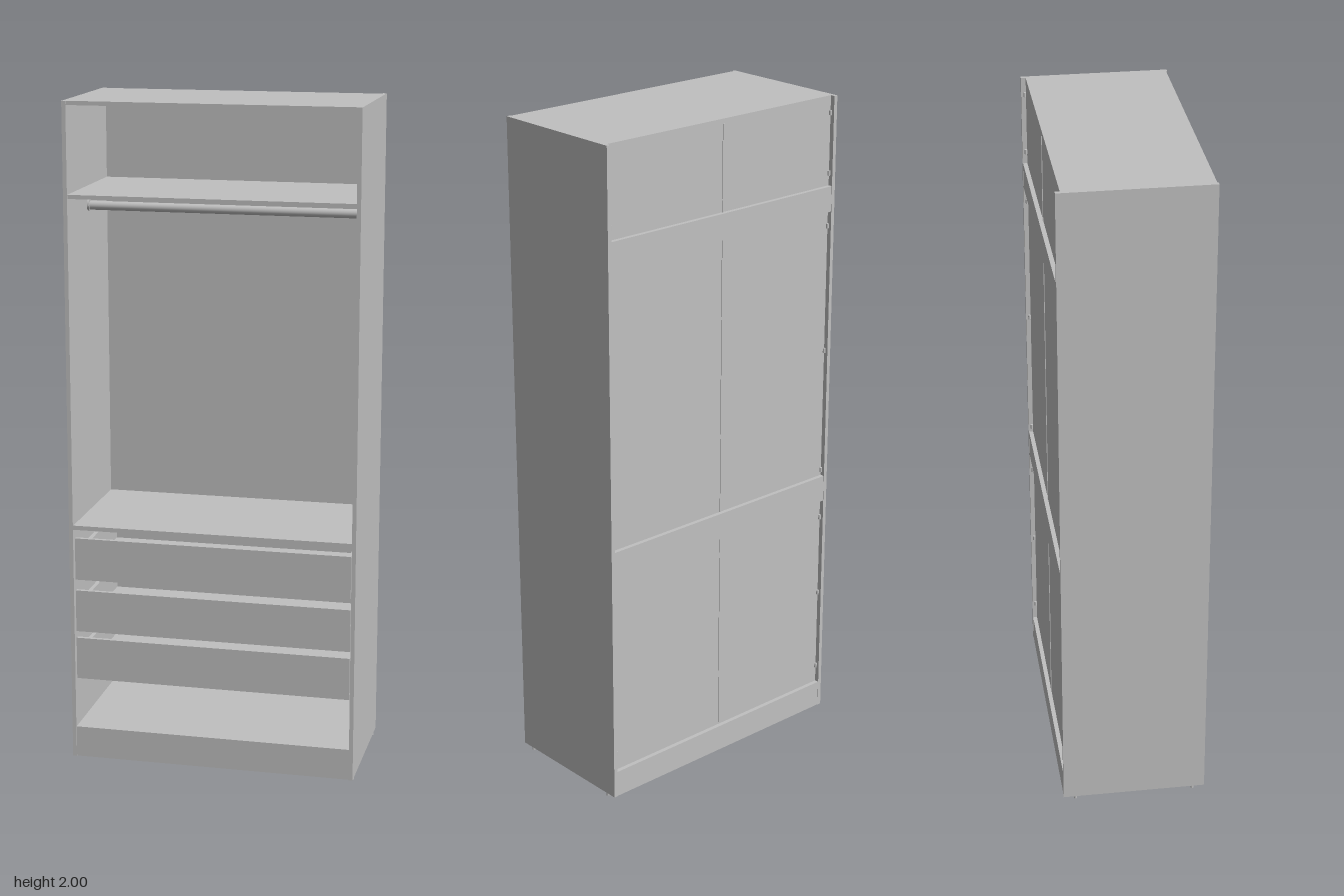
import * as THREE from 'three';

export function createModel() {
  const model = new THREE.Group();
  model.name = 'wardrobe';
  const grey = new THREE.MeshStandardMaterial({ color: 0xc0c0c0 });
  grey.name = 'light grey';

  // Box given by its limits on each axis
  function board(name, x0, x1, y0, y1, z0, z1, parent = model) {
    const mesh = new THREE.Mesh(new THREE.BoxGeometry(x1 - x0, y1 - y0, z1 - z0), grey);
    mesh.position.set((x0 + x1) / 2, (y0 + y1) / 2, (z0 + z1) / 2);
    mesh.name = name;
    parent.add(mesh);
    return mesh;
  }
  function peg(name, radius, length, x, y, z) {
    const mesh = new THREE.Mesh(new THREE.CylinderGeometry(radius, radius, length, 16), grey);
    mesh.position.set(x, y, z);
    mesh.name = name;
    model.add(mesh);
    return mesh;
  }

  const IN = 0.421; // inner half width
  const BACK = -0.203;

  // Side panels, feet and the small fixings behind the back panel
  for (const s of [-1, 1]) {
    const side = s > 0 ? 'left' : 'right';
    board(side + 'SidePanel', s > 0 ? IN : -0.433, s > 0 ? 0.433 : -IN, 0.01, 2, -0.217, 0.2165);
    for (const z of [-0.18, 0.18]) peg(side + 'Foot', 0.005, 0.01, s * 0.427, 0.005, z);
    for (const y of [1.95, 1.77, 1.61, 1.22, 0.83, 0.67, 0.41, 0.15])
      peg(side + 'BackFixing', 0.004, 0.014, s * 0.417, y, -0.207);
  }

  // Horizontal boards
  board('topPanel', -IN, IN, 1.988, 2, BACK, 0.213);
  board('upperShelf', -IN, IN, 1.72, 1.732, -0.2, 0.213);
  board('middleShelf', -IN, IN, 0.73, 0.743, -0.2, 0.213);
  board('bottomShelf', -IN, IN, 0.092, 0.105, -0.2, 0.201);
  board('frontPlinth', -IN, IN, 0.01, 0.105, 0.201, 0.213);

  // Back panel, its joining strip and the rails behind it
  board('backPanel', -IN, IN, 0.092, 1.988, BACK, -0.2);
  board('backJoinStrip', -0.003, 0.003, 0.1, 1.985, -0.205, BACK);
  for (const [name, y0, y1] of [['upperBackRail', 1.655, 1.732],
    ['middleBackRail', 0.727, 0.81], ['backPlinth', 0.01, 0.092]])
    board(name, -IN, IN, y0, y1, -0.216, BACK);

  // Hanging rod with end sockets
  peg('hangingRod', 0.0135, 2 * IN, 0, 1.673, 0).rotation.z = Math.PI / 2;
  for (const s of [-1, 1])
    peg('rodSocket', 0.019, 0.006, s * 0.418, 1.675, 0).rotation.z = Math.PI / 2;

  // Drawers: front, open box and runners
  for (const y of [0.26, 0.41, 0.573]) {
    const drawer = new THREE.Group();
    drawer.name = 'drawer';
    model.add(drawer);
    board('drawerFront', -0.418, 0.418, y, y + 0.129, 0.196, 0.208, drawer);
    board('drawerBottom', -0.395, 0.395, y + 0.018, y + 0.023, -0.17, 0.196, drawer);
    board('drawerBack', -0.395, 0.395, y + 0.023, y + 0.1, -0.18, -0.168, drawer);
    for (const s of [-1, 1]) {
      const wall = board('drawerSide', -0.006, 0.006, y + 0.012, y + 0.1, -0.18, 0.196, drawer);
      wall.position.x = s * 0.401;
      const runner = board('drawerRunner', -0.007, 0.007, y + 0.03, y + 0.05, -0.18, 0.19, drawer);
      runner.position.x = s * 0.414;
    }
  }
  return model;
}
